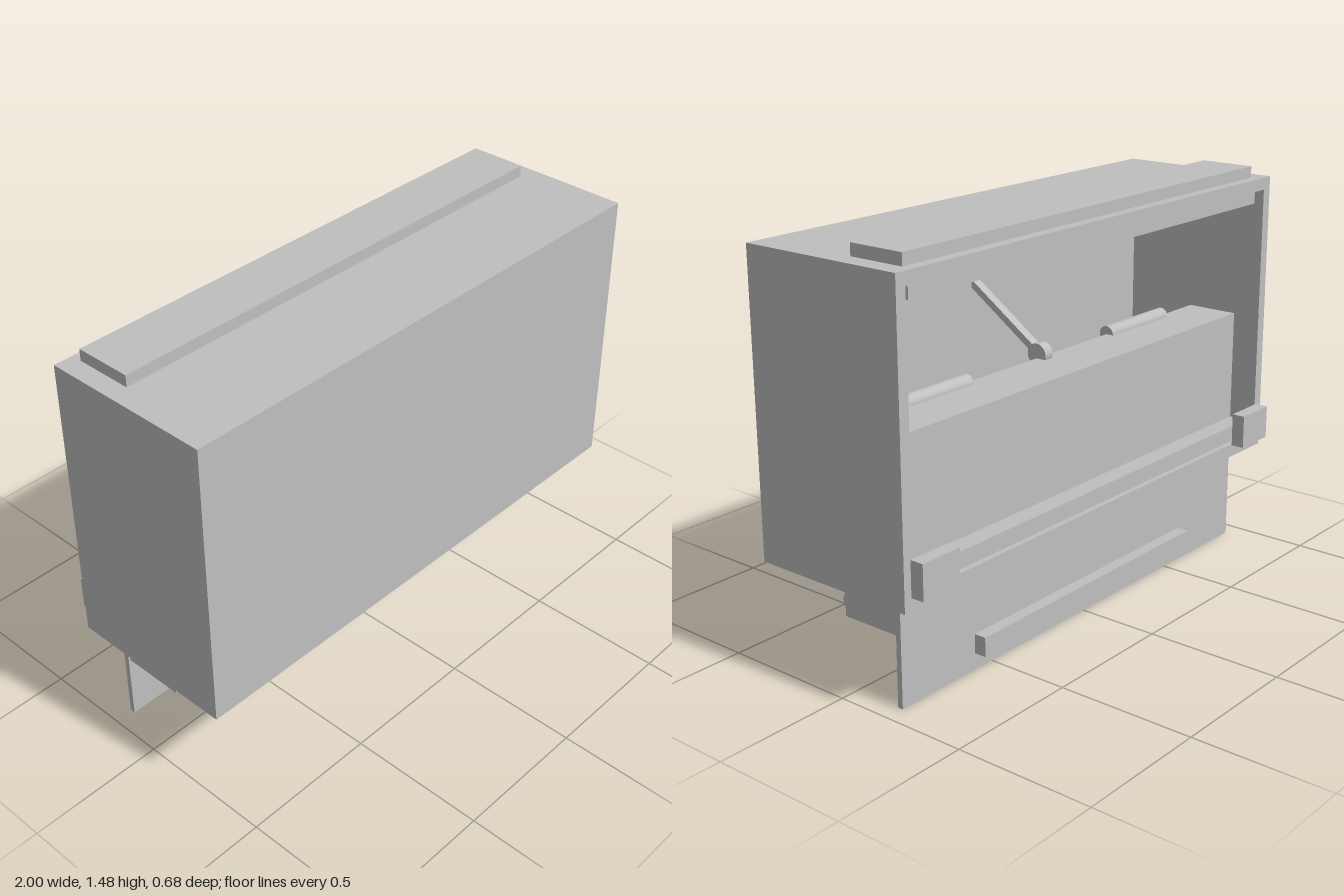
import * as THREE from 'three';

export function createModel() {
  const model = new THREE.Group();
  model.name = 'cabinet';
  const grey = new THREE.MeshStandardMaterial({ color: 0xbfbfbf });
  grey.name = 'plain grey';

  const add = (name, geometry) => {
    const mesh = new THREE.Mesh(geometry, grey);
    mesh.name = name;
    model.add(mesh);
    return mesh;
  };
  // Box given by its limits on each axis
  const box = (name, x0, x1, y0, y1, z0, z1) => {
    const mesh = add(name, new THREE.BoxGeometry(x1 - x0, y1 - y0, z1 - z0));
    mesh.position.set((x0 + x1) / 2, (y0 + y1) / 2, (z0 + z1) / 2);
    return mesh;
  };
  // Cylinder lying along x
  const rod = (name, x, y, z, radius, length) => {
    const mesh = add(name, new THREE.CylinderGeometry(radius, radius, length, 32));
    mesh.rotation.z = Math.PI / 2;
    mesh.position.set(x, y, z);
    return mesh;
  };

  // Housing, open at the back
  box('frontWall', -1, 1, 0.38, 1.435, 0.3, 0.34);
  box('ceiling', -0.96, 0.96, 1.39, 1.435, -0.29, 0.3);
  box('floor', -0.96, 0.96, 0.38, 0.43, -0.29, 0.3);
  for (const s of [-1, 1]) {
    box('sideWall', s * 0.98 - 0.02, s * 0.98 + 0.02, 0.38, 1.435, -0.29, 0.3);
  }
  box('topStrip', -0.93, 0.93, 1.435, 1.477, -0.25, -0.04);

  // Rails along the opening
  box('upperRail', -0.93, 0.93, 1.34, 1.39, -0.27, -0.21);
  box('lowerRail', -0.93, 0.93, 0.43, 0.49, -0.27, -0.2);

  // Inner block and the panel hanging below it
  box('innerBlock', -0.93, 0.93, 0.43, 0.907, -0.2, 0);
  box('hangingPanel', -0.93, 0.93, 0, 0.43, -0.2, -0.18);
  box('panelFrontBar', -0.705, 0.705, 0.15, 0.28, -0.18, -0.11);
  box('panelBackHandle', -0.585, 0.585, 0.06, 0.13, -0.245, -0.2);

  // Ceiling mount with its roller
  box('ceilingMount', -0.325, 0.325, 1.32, 1.39, -0.11, -0.05);
  rod('ceilingRoller', 0, 1.31, -0.08, 0.03, 0.53);

  // Pivot and stay arm reaching the front wall
  rod('armPivot', 0, 0.92, 0.0, 0.04, 0.04);
  const start = new THREE.Vector3(0, 0.93, 0.01);
  const end = new THREE.Vector3(0, 1.13, 0.305);
  const arm = add('stayArm', new THREE.BoxGeometry(0.035, 0.025, start.distanceTo(end)));
  arm.position.copy(start).add(end).multiplyScalar(0.5);
  arm.lookAt(end);

  // Mirrored fittings
  for (const s of [-1, 1]) {
    rod('hingeBarrel', s * 0.555, 0.907, 0, 0.03, 0.345);
    box('cornerLatch', s * 0.8875 - 0.0825, s * 0.8875 + 0.0825, 0.425, 0.55, -0.34, -0.29);
    box('bracket', s * 0.8625 - 0.0595, s * 0.8625 + 0.0595, 0.245, 0.38, -0.18, 0.05);
    for (const x of [0.847, 0.88]) rod('bracketDisc', s * x, 0.275, 0.05, 0.047, 0.011);
  }
  return model;
}
